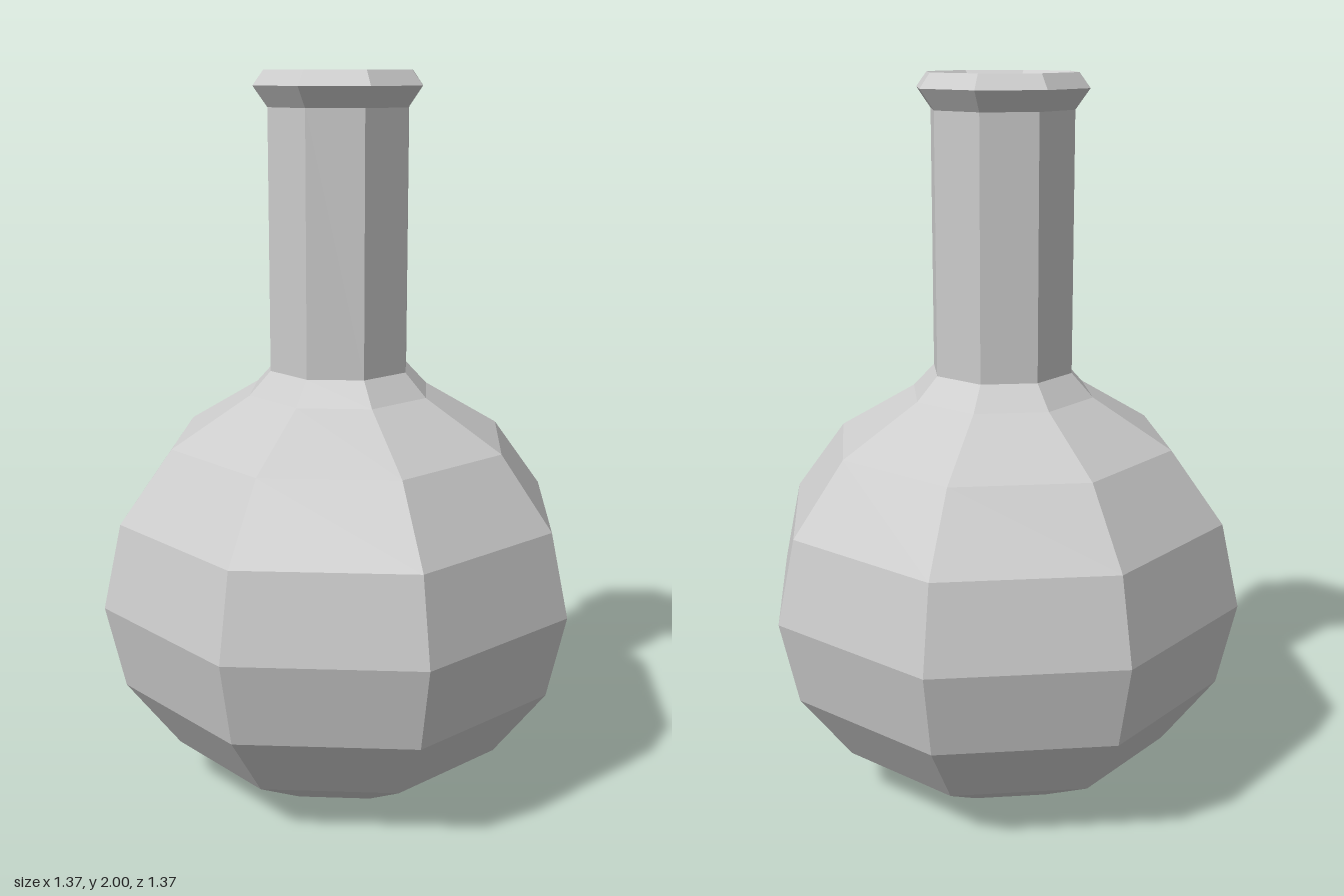
import * as THREE from 'three';

const SIDES = 8;
const material = new THREE.MeshStandardMaterial({ color: 0xcccccc, flatShading: true });

// Faceted ring of revolution from [radius, height] pairs; rising profiles face outward.
function lathe(name, profile) {
  const points = profile.map(([r, y]) => new THREE.Vector2(r, y));
  const mesh = new THREE.Mesh(new THREE.LatheGeometry(points, SIDES), material);
  mesh.name = name;
  return mesh;
}

// Sphere rings from the flat base up to the shoulder, every 22.5 degrees.
function bulbProfile(radius, centerY) {
  const rings = [];
  for (let i = 1; i <= 7; i++) {
    const a = (i * Math.PI) / 8;
    rings.push([radius * Math.sin(a), centerY - radius * 0.6132 / 0.6132 * Math.cos(a) * 0.9]);
  }
  return rings;
}

export function createModel() {
  const flask = new THREE.Group();
  flask.name = 'flask';

  // Round body with a flat base and a short shoulder
  const outer = bulbProfile(0.683, 0.567);
  outer[0][1] = 0;
  flask.add(lathe('body', [[0, 0], ...outer, [0.2, 1.2]]));

  // Straight neck
  flask.add(lathe('neck', [[0.2, 1.2], [0.2, 1.905]]));

  // Flared lip sloping in to the mouth
  flask.add(lathe('lip', [[0.2, 1.905], [0.24, 1.96], [0.21, 2], [0.145, 1.94]]));

  // Hollow inside: neck wall, then the inner bulb down to its floor
  const inner = bulbProfile(0.63, 0.567).reverse();
  flask.add(lathe('inside', [[0.145, 1.94], [0.145, 1.18], ...inner, [0, inner[6][1]]]));

  return flask;
}
